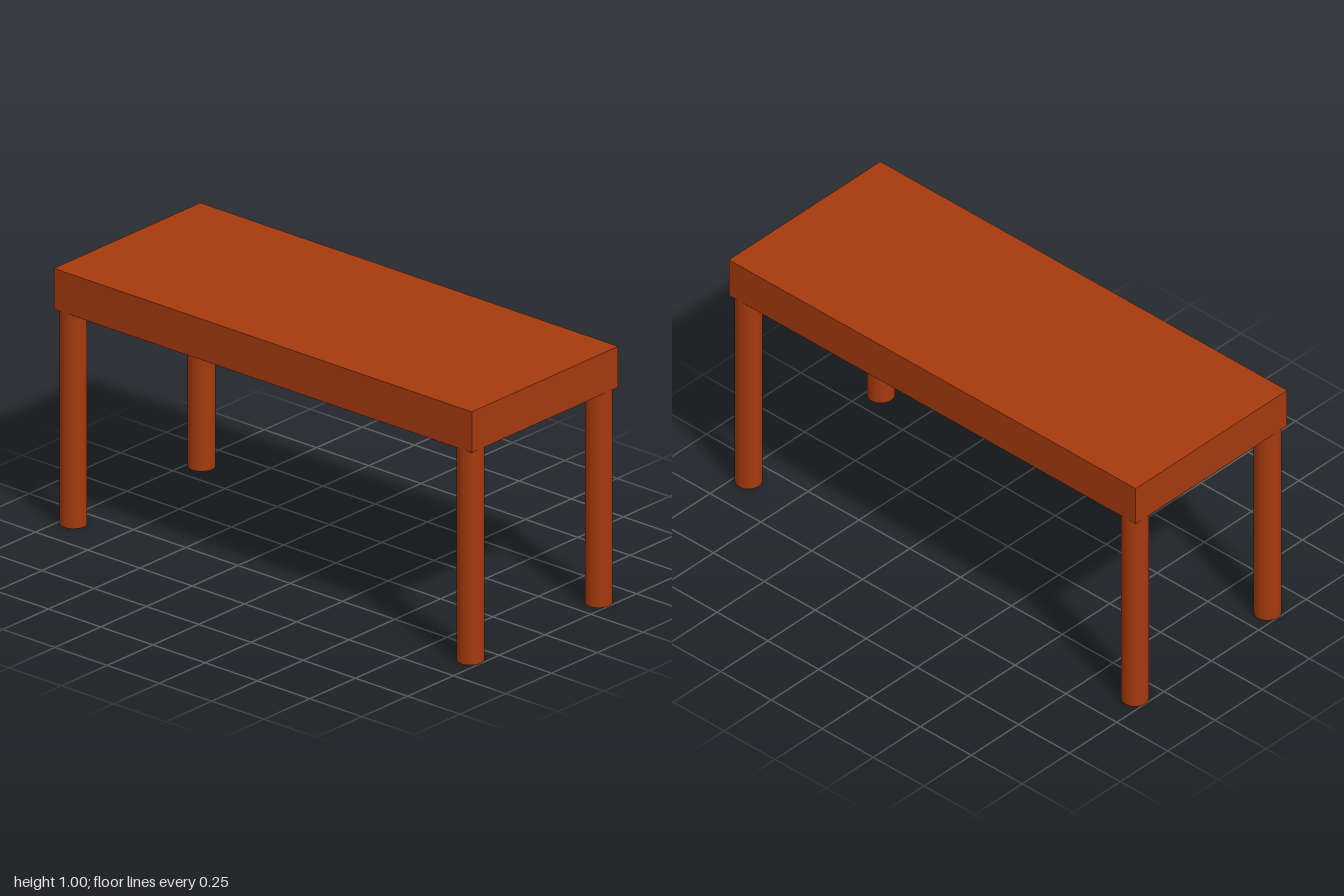
import * as THREE from 'three';

export function createModel() {
  const table = new THREE.Group();
  table.name = 'table';
  const wood = new THREE.MeshStandardMaterial({ color: 0xa5390e });

  const width = 2, depth = 0.8, height = 1;
  const topThickness = 0.16, legRadius = 0.05;
  const legHeight = height - topThickness;

  // Thick slab top
  const top = new THREE.Mesh(new THREE.BoxGeometry(width, topThickness, depth), wood);
  top.name = 'tableTop';
  top.position.y = height - topThickness / 2;
  table.add(top);

  // Four round legs, flush with the edges of the top
  const legGeometry = new THREE.CylinderGeometry(legRadius, legRadius, legHeight, 32);
  for (const [zSide, zName] of [[1, 'front'], [-1, 'back']]) {
    for (const [xSide, xName] of [[1, 'Left'], [-1, 'Right']]) {
      const leg = new THREE.Mesh(legGeometry, wood);
      leg.name = `${zName}${xName}Leg`;
      leg.position.set(
        xSide * (width / 2 - legRadius),
        legHeight / 2,
        zSide * (depth / 2 - legRadius)
      );
      table.add(leg);
    }
  }
  return table;
}
